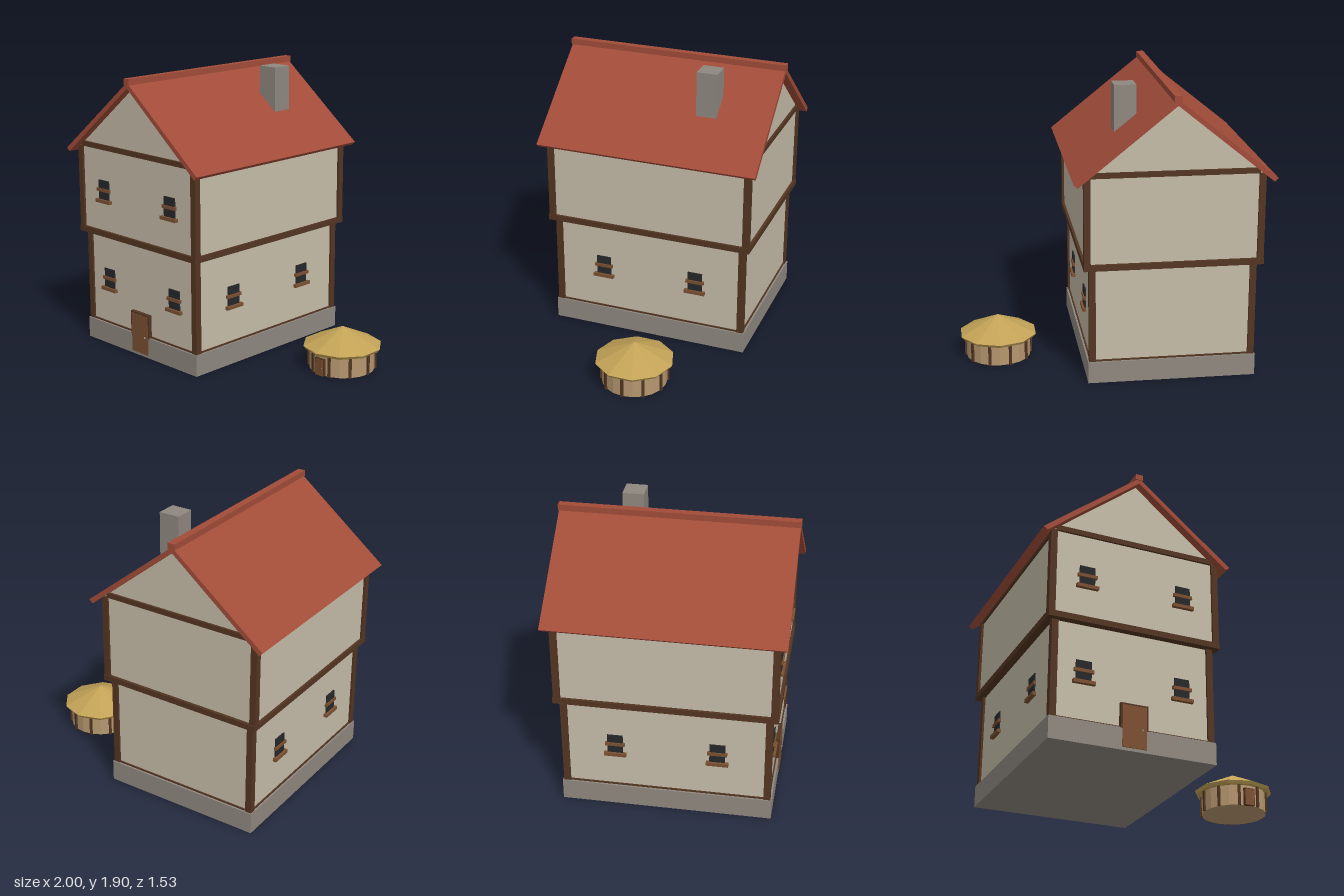
import * as THREE from 'three';

const mat = (name, color) => {
  const m = new THREE.MeshStandardMaterial({ color });
  m.name = name;
  return m;
};

export function createModel() {
  const plaster = mat('plaster', 0xc6bda9);
  const timber = mat('dark timber', 0x533522);
  const wood = mat('door wood', 0x7b5032);
  const tile = mat('roof tile', 0xa24c39);
  const stone = mat('stone', 0x8f8880);
  const glass = mat('dark glass', 0x262829);
  const metal = mat('metal', 0x9a9a98);
  const thatch = mat('thatch', 0xc2a256);
  const clay = mat('clay', 0xb6976f);

  const model = new THREE.Group();
  model.name = 'houseAndHut';

  const add = (parent, name, geometry, material, x = 0, y = 0, z = 0) => {
    const mesh = new THREE.Mesh(geometry, material);
    mesh.name = name;
    mesh.position.set(x, y, z);
    parent.add(mesh);
    return mesh;
  };
  // Box given by its width, depth, bottom and top
  const block = (parent, name, material, w, d, y0, y1, x = 0, z = 0) =>
    add(parent, name, new THREE.BoxGeometry(w, y1 - y0, d), material, x, (y0 + y1) / 2, z);
  // Outline in x and y, extruded evenly along z
  const prism = (parent, name, material, points, depth) => {
    const shape = new THREE.Shape(points.map(([x, y]) => new THREE.Vector2(x, y)));
    const geo = new THREE.ExtrudeGeometry(shape, { depth, bevelEnabled: false });
    return add(parent, name, geo.translate(0, 0, -depth / 2), material);
  };

  // ---- House ----
  const house = new THREE.Group();
  house.name = 'house';
  house.position.x = -0.355;
  model.add(house);

  block(house, 'foundation', stone, 1.102, 1.384, 0, 0.145);
  block(house, 'lowerWalls', plaster, 1.06, 1.34, 0.14, 0.79);
  block(house, 'sillBeam', timber, 1.078, 1.358, 0.14, 0.155);
  block(house, 'floorBeam', timber, 1.16, 1.44, 0.78, 0.82);
  prism(house, 'upperWalls', plaster,
    [[-0.563, 0.81], [0.563, 0.81], [0.563, 1.39], [0, 1.85], [-0.563, 1.39]], 1.4);

  // Corner posts, gable beams and eave beams
  for (const sx of [-1, 1]) {
    for (const sz of [-1, 1]) {
      block(house, 'lowerPost', timber, 0.043, 0.045, 0.14, 0.785, sx * 0.5225, sz * 0.6615);
      block(house, 'upperPost', timber, 0.043, 0.045, 0.815, 1.385, sx * 0.5575, sz * 0.6925);
    }
    block(house, 'gableBeam', timber, 1.08, 0.03, 1.385, 1.42, 0, sx * 0.7);
    block(house, 'eaveBeam', timber, 0.03, 1.4, 1.355, 1.385, sx * 0.56, 0);
  }

  // Roof
  prism(house, 'roof', tile,
    [[0, 1.88], [-0.645, 1.362], [-0.62, 1.34], [0, 1.842], [0.62, 1.34], [0.645, 1.362]], 1.52);
  block(house, 'ridgeCap', tile, 0.05, 1.53, 1.865, 1.905);
  block(house, 'chimney', stone, 0.142, 0.14, 1.45, 1.905, 0.275, -0.33);

  // Window facing +z with its back on the wall plane
  const addWindow = (x, y, z, turn = 0) => {
    const g = new THREE.Group();
    g.name = 'window';
    g.position.set(x, y, z);
    g.rotation.y = turn;
    house.add(g);
    block(g, 'pane', glass, 0.102, 0.018, 0, 0.14);
    block(g, 'crossbar', wood, 0.128, 0.034, 0.062, 0.084);
    block(g, 'sill', wood, 0.145, 0.05, -0.015, 0.008);
  };
  for (const s of [-1, 1]) {
    addWindow(s * 0.328, 1.032, 0.7);
    addWindow(s * 0.328, 0.4, 0.67);
    for (const side of [-1, 1]) addWindow(side * 0.53, 0.4, s * 0.333, side * Math.PI / 2);
  }

  // Door
  block(house, 'doorFrame', timber, 0.182, 0.05, 0.14, 0.305, 0, 0.67);
  block(house, 'door', wood, 0.16, 0.05, 0.02, 0.293, 0, 0.673);
  add(house, 'doorKnob', new THREE.SphereGeometry(0.007, 10, 8), metal, 0.052, 0.14, 0.7);

  // ---- Round hut ----
  const hut = new THREE.Group();
  hut.name = 'hut';
  hut.position.set(0.748, 0, -0.118);
  model.add(hut);

  const facet = (g) => {
    const flat = g.toNonIndexed();
    flat.computeVertexNormals();
    return flat;
  };
  add(hut, 'hutWall', facet(new THREE.CylinderGeometry(0.218, 0.218, 0.16, 20)), clay, 0, 0.08, 0);
  const profile = [[0, 0.14], [0.25, 0.14], [0.264, 0.16], [0, 0.283]]
    .map(([r, y]) => new THREE.Vector2(r, y));
  add(hut, 'hutRoof', facet(new THREE.LatheGeometry(profile, 10)), thatch);

  // Posts around the wall
  for (let i = 0; i < 10; i++) {
    const a = Math.PI * (0.1 + i * 0.2);
    const post = block(hut, 'hutPost', timber, 0.018, 0.018, 0, 0.145,
      Math.sin(a) * 0.22, Math.cos(a) * 0.22);
    post.rotation.y = a;
  }
  block(hut, 'hutDoorFrame', timber, 0.076, 0.025, 0, 0.118, 0, 0.217);
  block(hut, 'hutDoor', wood, 0.064, 0.03, 0, 0.111, 0, 0.218);
  add(hut, 'hutDoorKnob', new THREE.SphereGeometry(0.004, 8, 6), metal, 0.022, 0.055, 0.234);

  return model;
}
